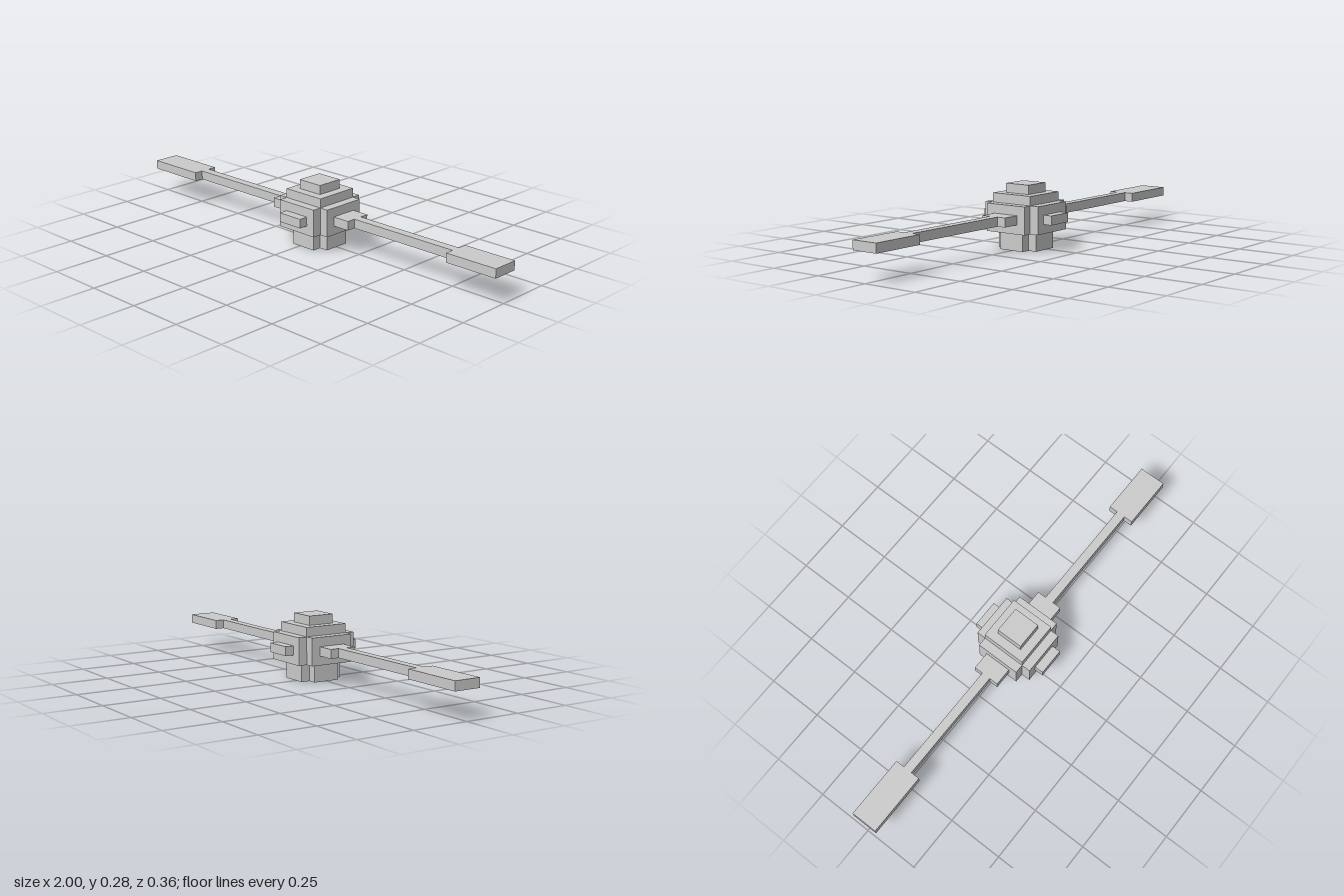
import * as THREE from 'three';

const U = 0.04; // size of one block
const CX = 0.02; // the hub sits half a block off centre
const material = new THREE.MeshStandardMaterial({ color: 0xcccccc, flatShading: true });

// Slab with stepped corners: each step is the [x, z] half size of a block-wide terrace
function steppedSlab(name, steps, y0, y1) {
  const q = [];
  steps.forEach(([x, z], i) => {
    q.push([x, z]);
    if (i < steps.length - 1) q.push([steps[i + 1][0], z]);
  });
  const r = [...q].reverse();
  const outline = [
    ...q,
    ...r.map(([x, z]) => [-x, z]),
    ...q.map(([x, z]) => [-x, -z]),
    ...r.map(([x, z]) => [x, -z]),
  ].map(([x, z]) => new THREE.Vector2(x * U, z * U));
  const geometry = new THREE.ExtrudeGeometry(new THREE.Shape(outline), {
    depth: (y1 - y0) * U, bevelEnabled: false,
  });
  geometry.rotateX(-Math.PI / 2);
  const mesh = new THREE.Mesh(geometry, material);
  mesh.name = name;
  mesh.position.set(CX, y0 * U, 0);
  return mesh;
}

// Flat bar at arm height between two x positions
function bar(name, x0, x1, width) {
  const mesh = new THREE.Mesh(new THREE.BoxGeometry(Math.abs(x1 - x0), U, width), material);
  mesh.name = name;
  mesh.position.set((x0 + x1) / 2, 3.5 * U, 0);
  return mesh;
}

export function createModel() {
  const model = new THREE.Group();
  model.name = 'model';

  // Rounded hub, stacked from the foot upwards
  const hub = new THREE.Group();
  hub.name = 'hub';
  const wide = [[3.5, 2.5], [2.5, 3.5]];
  hub.add(
    steppedSlab('foot', [[2.5, 1.5], [1.5, 2.5]], 0, 2),
    steppedSlab('lowerTier', wide, 2, 3),
    steppedSlab('middleTier', [[5.5, 1.5], [3.5, 2.5], [2.5, 3.5], [1.5, 4.5]], 3, 4),
    steppedSlab('upperTier', wide, 4, 5),
    steppedSlab('shoulderTier', [[2.5, 2.5]], 5, 6),
    steppedSlab('cap', [[1.5, 1.5]], 6, 7),
  );
  model.add(hub);

  // Thin arms with a broad paddle at each end
  model.add(
    bar('leftArm', 0.24, 0.76, U),
    bar('leftPaddle', 0.76, 1, 3 * U),
    bar('rightArm', -0.2, -0.72, U),
    bar('rightPaddle', -0.72, -1, 3 * U),
  );
  return model;
}
